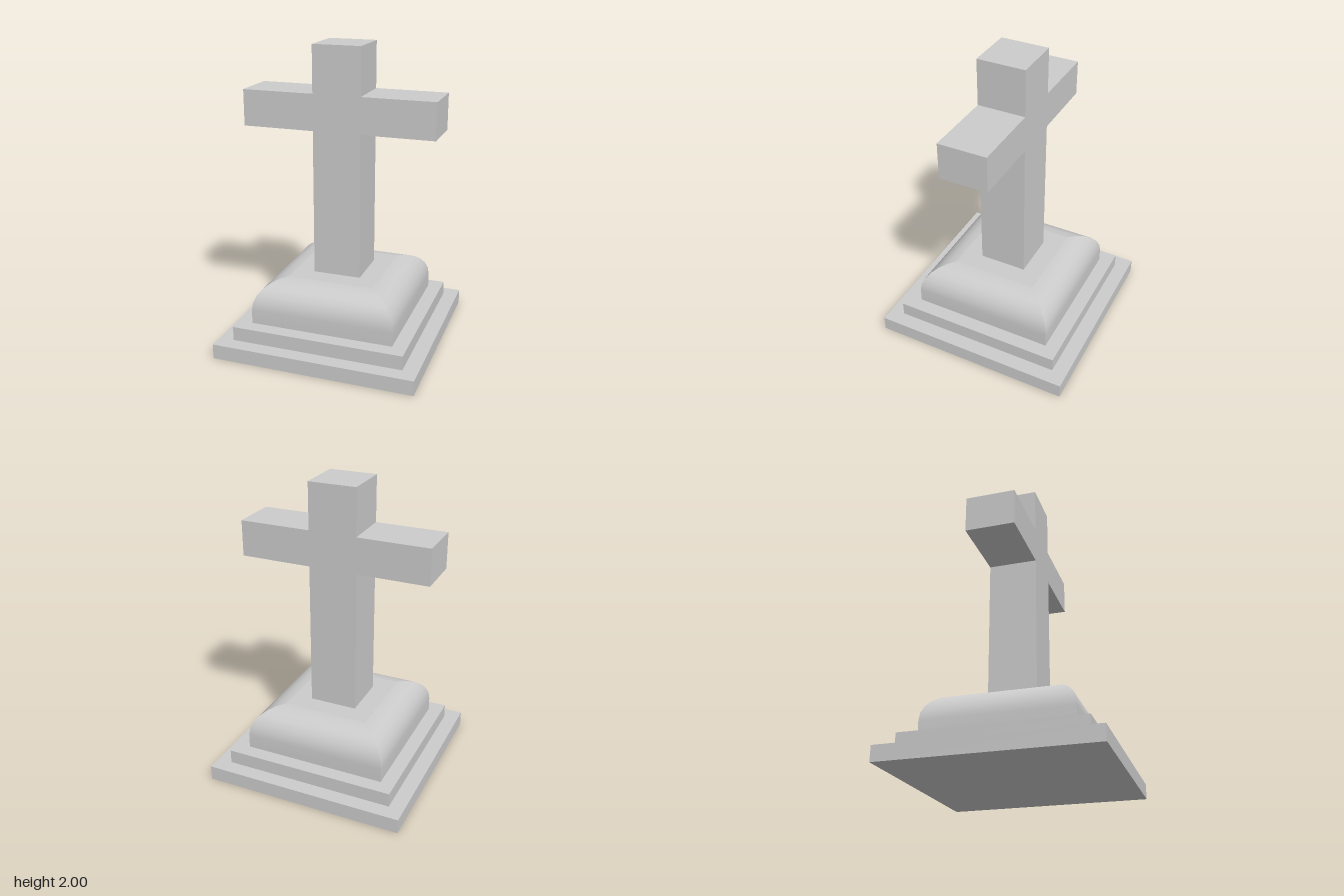
import * as THREE from 'three';
import { mergeGeometries } from 'three/addons/utils/BufferGeometryUtils.js';

const material = new THREE.MeshStandardMaterial({ color: 0xcccccc });

function part(name, geometry, y = 0) {
  const mesh = new THREE.Mesh(geometry, material);
  mesh.name = name;
  mesh.position.y = y;
  return mesh;
}

// One mitred side of a square block: the profile [halfWidth, y] seen on the +z face
function mitredSide(profile) {
  const positions = [], index = [];
  profile.forEach(([w, y], i) => {
    positions.push(-w, y, w, w, y, w);
    if (i > 0) {
      const a = 2 * (i - 1);
      index.push(a, a + 1, a + 3, a, a + 3, a + 2);
    }
  });
  const geometry = new THREE.BufferGeometry();
  geometry.setAttribute('position', new THREE.Float32BufferAttribute(positions, 3));
  geometry.setIndex(index);
  geometry.computeVertexNormals();
  return geometry;
}

// Square plinth with rounded shoulders and sharp diagonal corners
function plinthGeometry() {
  const half = 0.48, radius = 0.19, bottom = 0.19, top = 0.48, steps = 6;
  const profile = [[half, bottom]];
  for (let i = 0; i <= steps; i++) {
    const a = (i / steps) * Math.PI / 2;
    profile.push([half - radius + radius * Math.cos(a), top - radius + radius * Math.sin(a)]);
  }
  const pieces = [];
  for (let i = 0; i < 4; i++) pieces.push(mitredSide(profile).rotateY(i * Math.PI / 2));
  const flat = 2 * (half - radius);
  for (const [size, y, turn] of [[flat, top, -1], [2 * half, bottom, 1]]) {
    const cap = new THREE.PlaneGeometry(size, size).rotateX(turn * Math.PI / 2).translate(0, y, 0);
    cap.deleteAttribute('uv');
    pieces.push(cap);
  }
  return mergeGeometries(pieces);
}

// Cross cut from a single outline, so the arms sit flush with the shaft
function crossGeometry() {
  const shaft = 0.16, arm = 0.64, armLow = 1.45, armHigh = 1.69, foot = 0.47, top = 2;
  const right = [[shaft, foot], [shaft, armLow], [arm, armLow], [arm, armHigh], [shaft, armHigh], [shaft, top]];
  const left = right.map(([x, y]) => [-x, y]).reverse();
  const outline = new THREE.Shape([...right, ...left].map(([x, y]) => new THREE.Vector2(x, y)));
  return new THREE.ExtrudeGeometry(outline, { depth: 2 * shaft, bevelEnabled: false }).translate(0, 0, -shaft);
}

export function createModel() {
  const group = new THREE.Group();
  group.name = 'stoneCross';
  group.add(
    part('lowerStep', new THREE.BoxGeometry(1.35, 0.1, 1.35), 0.05),
    part('upperStep', new THREE.BoxGeometry(1.15, 0.1, 1.15), 0.145),
    part('plinth', plinthGeometry()),
    part('cross', crossGeometry())
  );
  return group;
}
